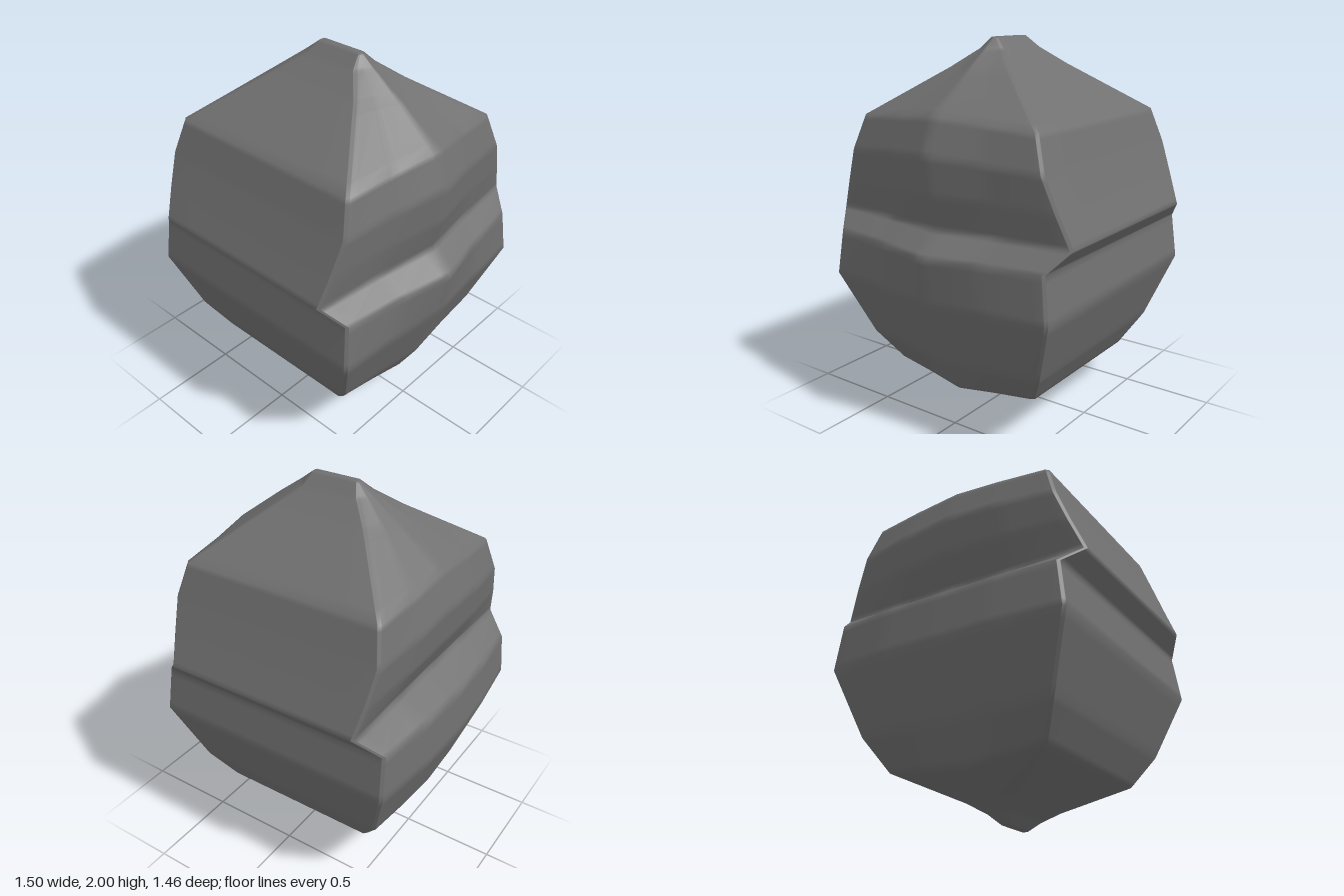
import * as THREE from 'three';

const lerp = THREE.MathUtils.lerp;

// Each level: [side y, front y, left mid x, right mid x, left corner x, right corner x, corner z]
const LEVELS = [
  [0.00, 0.00, -0.12, 0.08, -0.12, 0.08, 0.018],
  [0.05, 0.05, -0.22, 0.18, -0.18, 0.14, 0.07],
  [0.10, 0.10, -0.32, 0.27, -0.25, 0.20, 0.15],
  [0.19, 0.24, -0.50, 0.46, -0.48, 0.42, 0.45],
  [0.37, 0.41, -0.61, 0.57, -0.59, 0.53, 0.55],
  [0.74, 0.76, -0.75, 0.71, -0.70, 0.66, 0.68],
  [0.99, 1.00, -0.73, 0.75, -0.69, 0.64, 0.65],
  [1.10, 1.10, -0.56, 0.62, -0.57, 0.535, 0.73],
  [1.28, 1.26, -0.64, 0.67, -0.60, 0.56, 0.665],
  [1.47, 1.43, -0.66, 0.685, -0.62, 0.58, 0.60],
  [1.65, 1.61, -0.60, 0.62, -0.58, 0.54, 0.54],
  [1.85, 1.85, -0.32, 0.35, -0.28, 0.27, 0.19],
  [1.94, 1.94, -0.20, 0.22, -0.17, 0.17, 0.08],
  [2.00, 2.00, -0.12, 0.14, -0.12, 0.14, 0.018],
];

// Boxy outline with bowed sides and slightly cut corners
function outline([ys, yf, xl, xr, cl, cr, cz]) {
  const cut = Math.min(0.016, cz * 0.3);
  const right = [
    [cr - cut, yf, cz],
    [cr, yf, cz - cut],
    [lerp(cr, xr, 0.4), lerp(yf, ys, 0.5), cz * 0.48],
    [xr, ys, 0],
  ];
  const left = [
    [cl + cut, yf, cz],
    [cl, yf, cz - cut],
    [lerp(cl, xl, 0.8), lerp(yf, ys, 0.5), cz * 0.48],
    [xl, ys, 0],
  ];
  const back = (p) => [p[0], p[1], -p[2]];
  return [
    ...right, ...right.slice(0, 3).reverse().map(back),
    ...left.slice(0, 3).map(back), ...left.slice().reverse(),
  ].map((p) => new THREE.Vector3(...p));
}

// Extra loops beside every edge keep the faces flat and the edges softly rounded
function tighten(list, mix, closed) {
  const out = [];
  list.forEach((item, i) => {
    out.push(item);
    if (i === list.length - 1 && !closed) return;
    const next = list[(i + 1) % list.length];
    for (const t of [0.15, 0.85]) out.push(mix(item, next, t));
  });
  return out;
}

function loft(levels) {
  const mixPoint = (a, b, t) => a.clone().lerp(b, t);
  const mixRing = (a, b, t) => a.map((p, i) => mixPoint(p, b[i], t));
  const rings = tighten(
    levels.map((l) => tighten(outline(l), mixPoint, true)), mixRing, false);
  const n = rings[0].length;
  const last = (rings.length - 1) * n;
  const points = rings.flat();
  const index = [];
  for (let r = 0; r < rings.length - 1; r++) {
    for (let j = 0; j < n; j++) {
      const a = r * n + j, b = r * n + ((j + 1) % n);
      index.push(a, b, b + n, a, b + n, a + n);
    }
  }
  // Small end caps
  const bottom = points.length, top = bottom + 1;
  points.push(new THREE.Vector3(-0.02, 0, 0), new THREE.Vector3(0.01, 2, 0));
  for (let j = 0; j < n; j++) {
    const k = (j + 1) % n;
    index.push(bottom, k, j, top, last + j, last + k);
  }
  const geometry = new THREE.BufferGeometry().setFromPoints(points);
  geometry.setIndex(index);
  geometry.computeVertexNormals();
  return geometry;
}

export function createModel() {
  const group = new THREE.Group();
  group.name = 'acornShapedBlock';
  const material = new THREE.MeshStandardMaterial({ color: 0x707070 });
  const body = new THREE.Mesh(loft(LEVELS), material);
  body.name = 'body';
  group.add(body);
  return group;
}
